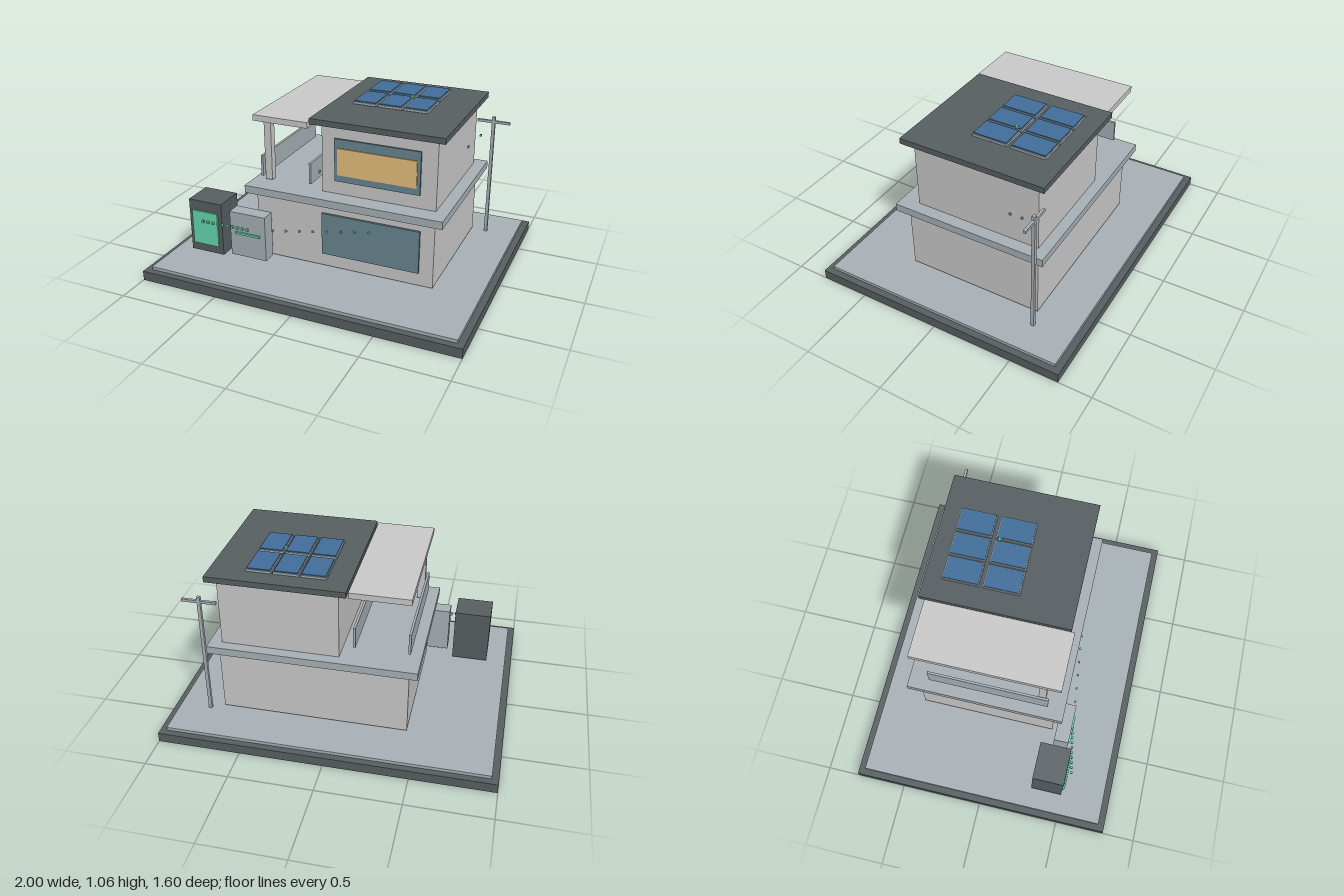
import * as THREE from 'three';

const paint = (color) => new THREE.MeshStandardMaterial({ color });

export function createModel() {
  const model = new THREE.Group();
  const wall = paint(0xcccccc);
  const concrete = paint(0xaab3b9);
  const dark = paint(0x586063);
  const glass = paint(0x6a8894);
  const amber = paint(0xe8c27c);
  const green = paint(0x66dcb0);
  const blue = paint(0x42709c);
  const skyBlue = paint(0x6aa8dc);

  // Box given by its extents along x, y and z
  const block = (name, mat, [x0, x1], [y0, y1], [z0, z1], parent = model) => {
    const mesh = new THREE.Mesh(new THREE.BoxGeometry(x1 - x0, y1 - y0, z1 - z0), mat);
    mesh.position.set((x0 + x1) / 2, (y0 + y1) / 2, (z0 + z1) / 2);
    mesh.name = name;
    parent.add(mesh);
    return mesh;
  };

  // Row of small cubes between two points
  const dots = (name, mat, from, to, count, size) => {
    const group = new THREE.Group();
    group.name = name;
    const a = new THREE.Vector3(...from), b = new THREE.Vector3(...to);
    for (let i = 0; i < count; i++) {
      const dot = new THREE.Mesh(new THREE.BoxGeometry(size, size, size), mat);
      dot.position.lerpVectors(a, b, count > 1 ? i / (count - 1) : 0);
      dot.name = 'flowDot';
      group.add(dot);
    }
    model.add(group);
  };

  // Plinth and paving
  block('plinth', dark, [-1, 1], [0, 0.06], [-0.8, 0.8]);
  block('paving', concrete, [-0.96, 0.96], [0.06, 0.08], [-0.76, 0.76]);

  // House storeys and slabs
  block('groundFloor', wall, [-0.44, 0.685], [0.097, 0.51], [-0.5, 0.35]);
  block('floorSlab', concrete, [-0.495, 0.742], [0.51, 0.557], [-0.555, 0.403]);
  block('upperFloor', wall, [-0.033, 0.668], [0.557, 0.985], [-0.49, 0.29]);
  block('roof', dark, [-0.087, 0.72], [0.985, 1.02], [-0.545, 0.345]);

  // Windows
  block('groundWindow', glass, [0, 0.605], [0.19, 0.455], [0.364, 0.378]);
  block('upperWindowFrame', glass, [0.057, 0.578], [0.648, 0.91], [0.306, 0.317]);
  block('upperWindowPane', amber, [0.077, 0.558], [0.69, 0.855], [0.314, 0.323]);

  // Terrace canopy, post and railings
  block('canopy', wall, [-0.44, -0.09], [0.964, 1], [-0.51, 0.365]);
  block('canopyPost', wall, [-0.415, -0.37], [0.567, 0.935], [0.237, 0.282]);
  for (const x of [-0.427, -0.108]) {
    block('railing', concrete, [x - 0.007, x + 0.007], [0.592, 0.722], [-0.43, 0.3]);
  }

  // Solar panels: two rows of three
  for (const x of [0.118, 0.276, 0.434]) {
    for (const z of [-0.333, -0.093]) {
      block('panelFrame', concrete, [x - 0.074, x + 0.074], [1.024, 1.037], [z - 0.109, z + 0.109]);
      block('panelCells', blue, [x - 0.068, x + 0.068], [1.037, 1.044], [z - 0.103, z + 0.103]);
    }
  }

  // Charging cabinet with screen, and battery cabinet with light bar
  block('chargerCabinet', dark, [-0.84, -0.615], [0.102, 0.442], [0.303, 0.493]);
  block('chargerScreen', green, [-0.815, -0.64], [0.157, 0.378], [0.496, 0.506]);
  block('batteryCabinet', concrete, [-0.573, -0.333], [0.107, 0.397], [0.378, 0.467]);
  block('batteryLight', green, [-0.537, -0.37], [0.256, 0.27], [0.467, 0.478]);

  // Utility pole with cross-arm
  block('pole', concrete, [0.761, 0.781], [0.08, 0.87], [-0.529, -0.509]);
  block('poleArm', concrete, [0.668, 0.875], [0.831, 0.847], [-0.528, -0.512]);

  // Energy flow markers
  dots('chargerFlow', green, [-0.73, 0.323, 0.523], [-0.452, 0.297, 0.474], 10, 0.014);
  dots('houseFlow', green, [-0.287, 0.318, 0.455], [0.3, 0.392, 0.384], 8, 0.012);
  dots('roofFlow', green, [0.35, 1.053, -0.175], [0.35, 1.053, -0.175], 1, 0.016);
  dots('terraceFlow', green, [-0.1, 0.632, 0.19], [-0.1, 0.632, 0.19], 1, 0.014);
  dots('gridFlow', skyBlue, [0.67, 0.728, -0.318], [0.77, 0.825, -0.518], 3, 0.012);

  return model;
}
